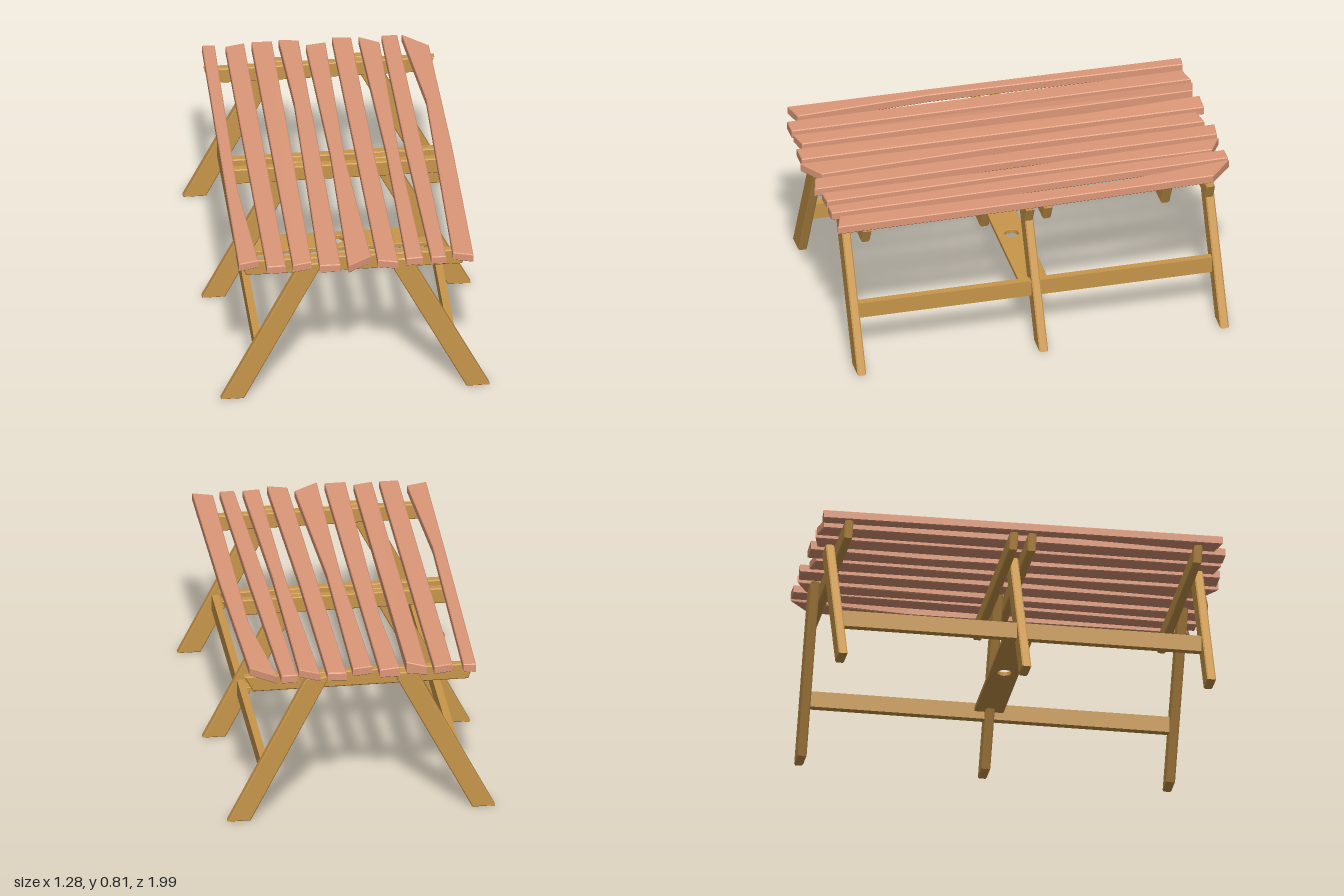
import * as THREE from 'three';

const paint = (color) => new THREE.MeshStandardMaterial({ color, flatShading: true });

// Bevelled board cut from an outline; the outline keeps its exact size.
function board(points, depth, bevel, hole) {
  const shape = new THREE.Shape(points.map(([x, y]) => new THREE.Vector2(x, y)));
  if (hole) shape.holes.push(hole);
  const geo = new THREE.ExtrudeGeometry(shape, {
    depth: depth - 2 * bevel, bevelEnabled: true, bevelThickness: bevel,
    bevelSize: bevel, bevelOffset: -bevel, bevelSegments: 1, curveSegments: 6,
  });
  return geo.translate(0, 0, bevel);
}

export function createModel() {
  const table = new THREE.Group();
  table.name = 'picnicTable';
  const frameWood = paint(0xc8964b);
  const topWood = paint(0xdd9878);

  function add(parent, name, geo, material) {
    const mesh = new THREE.Mesh(geo, material);
    mesh.name = name;
    parent.add(mesh);
    return mesh;
  }

  // Uneven slats: outlines as [x, z], with an optional lift of the back corners [left, right]
  const slats = [
    { p: [[-0.54, -0.99], [-0.48, -0.985], [-0.50, 0.25], [-0.465, 0.90], [-0.56, 0.925], [-0.555, 0.3]] },
    { p: [[-0.43, -0.97], [-0.34, -0.99], [-0.34, 0.96], [-0.43, 0.96]] },
    { p: [[-0.305, -0.99], [-0.21, -0.965], [-0.215, 0.94], [-0.305, 0.96]], lift: [0.004, 0.02] },
    { p: [[-0.175, -0.99], [-0.08, -0.99], [-0.08, 0.975], [-0.18, 0.975], [-0.155, -0.45]], lift: [0.008, 0] },
    { p: [[-0.05, -0.945], [0.045, -0.96], [0.035, 0.05], [0.07, 0.915], [-0.045, 0.99], [-0.03, 0]] },
    { p: [[0.08, -1], [0.17, -0.99], [0.175, 0], [0.195, 0.98], [0.10, 0.955], [0.09, -0.1]] },
    { p: [[0.205, -0.99], [0.30, -0.935], [0.295, 0.05], [0.315, 0.95], [0.235, 0.955], [0.235, 0]] },
    { p: [[0.315, -0.99], [0.39, -0.99], [0.41, 0], [0.425, 0.955], [0.355, 0.955], [0.33, 0]] },
    { p: [[0.41, -0.99], [0.53, -0.885], [0.55, 0], [0.555, 0.955], [0.46, 0.925], [0.47, -0.42]] },
  ];
  const tabletop = new THREE.Group();
  tabletop.name = 'tabletop';
  table.add(tabletop);
  slats.forEach(({ p, lift = [0, 0] }, i) => {
    const geo = board(p.map(([x, z]) => [x, -z]), 0.042, 0.004).rotateX(-Math.PI / 2).translate(0, 0.748, 0);
    const pos = geo.attributes.position;
    const [x0, x1] = [p[0][0], p[1][0]];
    for (let k = 0; k < pos.count; k++) {
      if (pos.getY(k) < 0.77) continue;
      const across = THREE.MathUtils.clamp((pos.getX(k) - x0) / (x1 - x0), 0, 1);
      const back = (1 - pos.getZ(k)) / 2;
      pos.setY(k, pos.getY(k) + back * THREE.MathUtils.lerp(lift[0], lift[1], across));
    }
    geo.computeVertexNormals();
    add(tabletop, `slat${i + 1}`, geo, topWood);
  });

  // Three pairs of splayed legs
  for (const [place, z] of [['front', 0.837], ['middle', -0.051], ['back', -0.934]]) {
    for (const [side, s] of [['Left', 1], ['Right', -1]]) {
      const outline = [[0.64, 0], [0.53, 0], [0.153, 0.74], [0.263, 0.74]].map(([x, y]) => [s * x, y]);
      add(table, `${place}${side}Leg`, board(outline, 0.043, 0.006), frameWood).position.z = z;
    }
  }

  // Cross beams under the slats, with slanted ends
  const beamOutline = [[-0.545, 0.742], [-0.517, 0.662], [0.513, 0.662], [0.553, 0.742]];
  for (const [name, z] of [['frontBeam', 0.79], ['middleFrontBeam', -0.007],
    ['middleBackBeam', -0.095], ['backBeam', -0.888]]) {
    add(table, name, board(beamOutline, 0.041, 0.006), frameWood).position.z = z;
  }

  // Long rails joining the legs on each side
  for (const [side, s] of [['left', 1], ['right', -1]]) {
    const rail = add(table, `${side}Rail`, new THREE.BoxGeometry(0.035, 0.08, 1.73), frameWood);
    rail.position.set(s * 0.46, 0.26, -0.028);
  }

  // Flat stretcher between the rails, drilled for a parasol pole
  const hole = new THREE.Path().absarc(0, 0, 0.034, 0, Math.PI * 2, true);
  const stretcher = board([[-0.445, -0.07], [0.445, -0.07], [0.445, 0.07], [-0.445, 0.07]], 0.022, 0.002, hole);
  add(table, 'stretcher', stretcher.rotateX(-Math.PI / 2), frameWood).position.set(0, 0.257, -0.03);

  return table;
}
